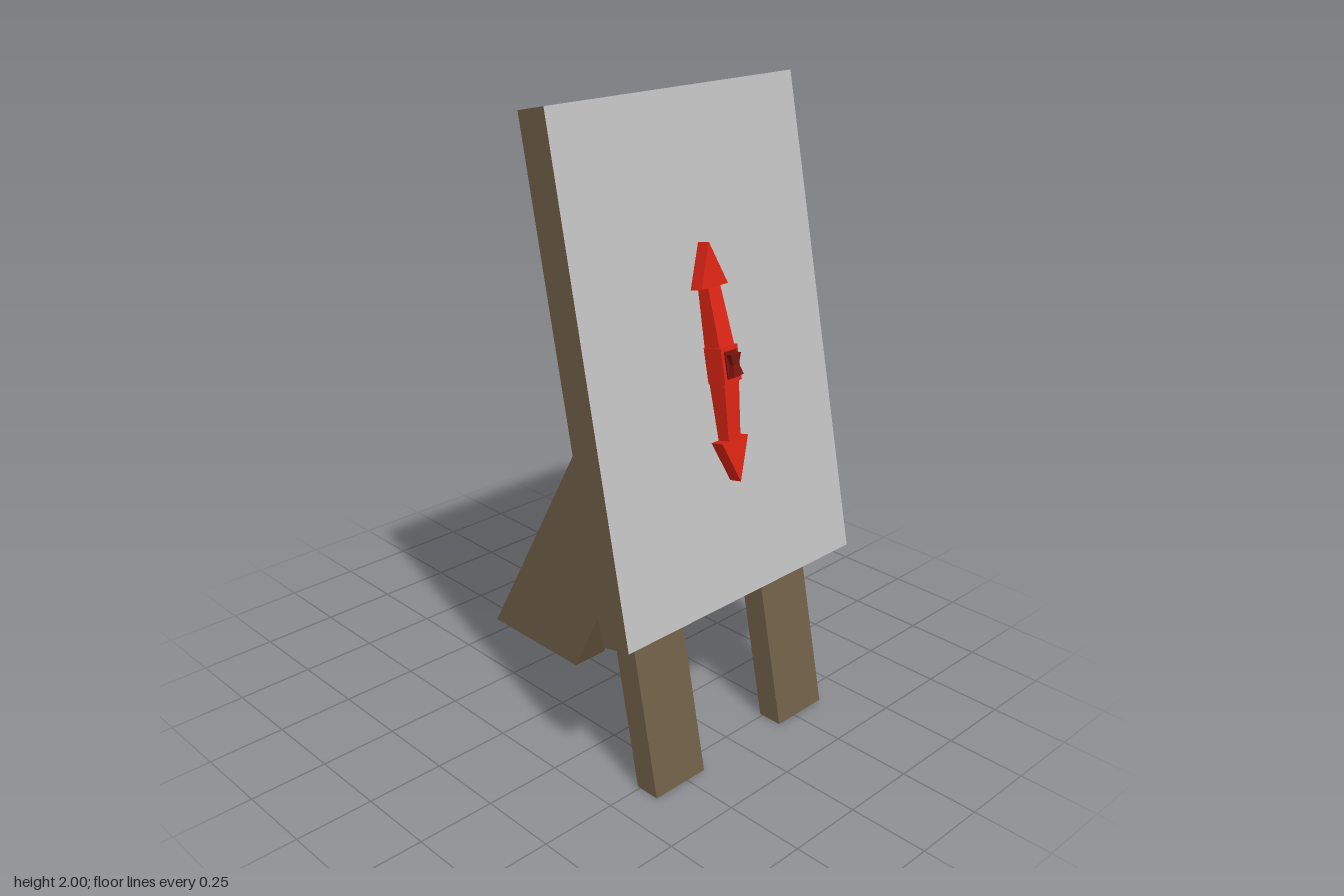
import * as THREE from 'three';

export function createModel() {
  const mat = (name, color) => {
    const m = new THREE.MeshStandardMaterial({ color });
    m.name = name;
    return m;
  };
  const wood = mat('brown wood', 0x6f5e47);
  const grey = mat('light grey face', 0xbebebe);
  const red = mat('red', 0xd82413);
  const darkRed = mat('dark red', 0x7a120b);

  const model = new THREE.Group();
  model.name = 'standingBoard';

  const add = (parent, name, geo, material, x = 0, y = 0, z = 0) => {
    const mesh = new THREE.Mesh(geo, material);
    mesh.name = name;
    mesh.position.set(x, y, z);
    parent.add(mesh);
    return mesh;
  };

  // Beam cut from a side profile of [z, y] points, centred on x
  const beam = (profile, width) => {
    const shape = new THREE.Shape(profile.map(([z, y]) => new THREE.Vector2(z, y)));
    return new THREE.ExtrudeGeometry(shape, { depth: width, bevelEnabled: false })
      .translate(0, 0, -width / 2)
      .rotateY(-Math.PI / 2);
  };

  // Box standing on z = 0 whose middle section is scaled in x and z
  const waistedBox = (w, h, d, sx, sz) => {
    const geo = new THREE.BoxGeometry(w, h, d, 1, 2, 1).translate(0, 0, d / 2);
    const p = geo.attributes.position;
    for (let i = 0; i < p.count; i++) {
      if (Math.abs(p.getY(i)) < 1e-6) p.setXYZ(i, p.getX(i) * sx, 0, p.getZ(i) * sz);
    }
    const flat = geo.toNonIndexed();
    flat.computeVertexNormals();
    return flat;
  };

  // Leaning board with a grey front face
  const board = new THREE.Group();
  board.name = 'board';
  board.position.set(0, 1.255, 0.3475);
  board.rotation.x = -0.2146;
  model.add(board);
  add(board, 'panel', new THREE.BoxGeometry(0.972, 1.504, 0.107),
    [wood, wood, wood, wood, grey, wood]);

  // Front legs and rear prop
  const legProfile = [[0.49, 0], [0.57, 0], [0.39, 0.836], [0.312, 0.819]];
  for (const side of [-1, 1]) {
    add(model, side > 0 ? 'leftLeg' : 'rightLeg', beam(legProfile, 0.203), wood, side * 0.277);
  }
  add(model, 'rearProp', beam([[-0.57, 0], [-0.14, 0], [0.35, 1.0], [0.243, 1.49]], 0.13), wood);

  // Double-headed arrow on the front face
  const arrow = new THREE.Group();
  arrow.name = 'arrow';
  arrow.position.set(0, -0.037, 0.0535);
  board.add(arrow);
  add(arrow, 'shaft', waistedBox(0.05, 0.46, 0.04, 1.3, 1.62), red);
  const headShape = new THREE.Shape([[-0.055, 0.225], [0.055, 0.225], [0, 0.353]]
    .map(([x, y]) => new THREE.Vector2(x, y)));
  for (const end of [1, -1]) {
    const head = add(arrow, end > 0 ? 'upperHead' : 'lowerHead',
      new THREE.ExtrudeGeometry(headShape, { depth: 0.043, bevelEnabled: false }), red);
    if (end < 0) head.rotation.z = Math.PI;
  }

  // Centre collar with a pinched knob
  add(arrow, 'collar', new THREE.BoxGeometry(0.07, 0.105, 0.067), red, 0, 0, 0.0335);
  add(arrow, 'knobBase', new THREE.BoxGeometry(0.048, 0.08, 0.006), darkRed, 0, 0, 0.069);
  add(arrow, 'knob', waistedBox(0.042, 0.064, 0.022, 0.55, 0.8), darkRed, 0, 0, 0.069);

  return model;
}
